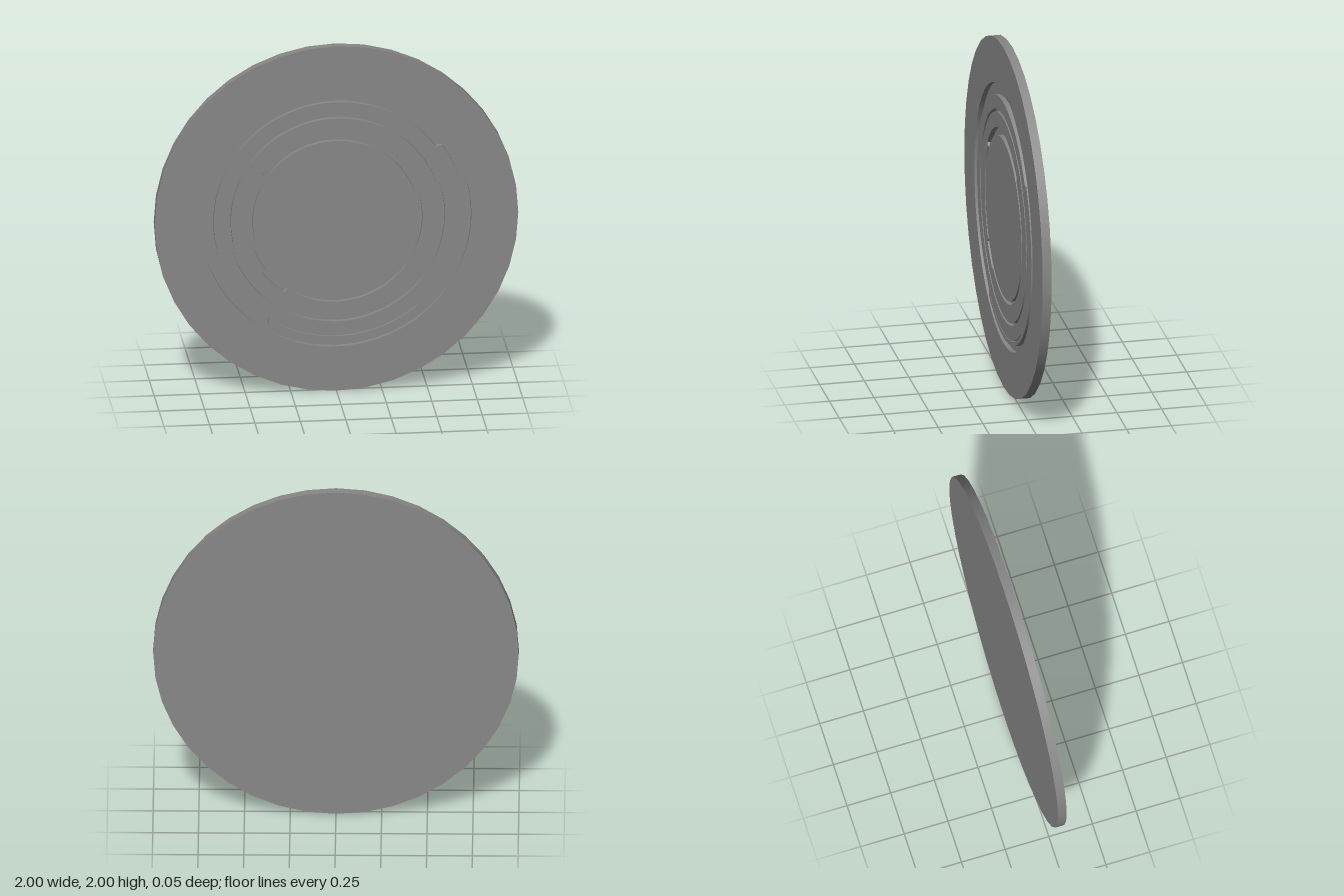
import * as THREE from 'three';

const FLOOR = -0.002; // depth of the groove floor
const FRONT = 0.025;
const BACK = -0.025;

const polar = (r, deg) => {
  const a = THREE.MathUtils.degToRad(deg);
  return new THREE.Vector2(r * Math.cos(a), r * Math.sin(a));
};

// Closed outline whose radius is a number or a function of the angle in degrees
function outline(radius, sides, cx = 0, cy = 0) {
  const points = [];
  for (let i = 0; i < sides; i++) {
    const deg = (i * 360) / sides;
    const r = typeof radius === 'function' ? radius(deg) : radius;
    points.push(polar(r, deg).add(new THREE.Vector2(cx, cy)));
  }
  return points;
}

const between = (deg, from, to) => deg >= from && deg <= to;

// Point the normals of the round walls along the radius, so they shade smoothly
function smoothWalls(geometry) {
  const position = geometry.attributes.position;
  const normal = geometry.attributes.normal;
  for (let i = 0; i < position.count; i++) {
    const radial = new THREE.Vector2(position.getX(i), position.getY(i)).normalize();
    const facing = radial.x * normal.getX(i) + radial.y * normal.getY(i);
    if (Math.abs(facing) > 0.9) {
      radial.multiplyScalar(Math.sign(facing));
      normal.setXYZ(i, radial.x, radial.y, 0);
    }
  }
}

export function createModel() {
  const group = new THREE.Group();
  const material = new THREE.MeshStandardMaterial({ color: 0x888888 });

  const addPlate = (name, points, holes, z0, z1) => {
    const shape = new THREE.Shape(points);
    shape.holes = holes.map((hole) => new THREE.Path(hole));
    const geometry = new THREE.ExtrudeGeometry(shape, { depth: z1 - z0, bevelEnabled: false });
    smoothWalls(geometry);
    const mesh = new THREE.Mesh(geometry, material);
    mesh.name = name;
    mesh.position.set(0, 1, z0);
    group.add(mesh);
  };

  // Solid backing disc; its front forms the floor of the grooves
  addPlate('backDisc', outline(1, 40), [], BACK, FLOOR);

  // Broad flat border
  addPlate('outerBorder', outline(1, 40), [outline(0.743, 60)], FLOOR, FRONT);

  // Middle band, wider at the lower right, with a hairline slot along the bottom
  const widened = (deg) => (between(deg, 36, 237) ? 0.675 : 0.708);
  const slot = [];
  for (let deg = 240; deg <= 311; deg++) slot.push(polar(0.683, deg));
  for (let deg = 311; deg >= 240; deg--) slot.push(polar(0.678, deg));
  addPlate('middleBand', outline(widened, 360), [outline(0.597, 60), slot], FLOOR, FRONT);

  // Inner band; its inner edge is notched wider over two arcs
  const notched = (deg) =>
    between(deg, 47, 145) || between(deg, 216, 235) ? 0.5 : 0.476;
  addPlate('innerBand', outline(0.581, 60), [outline(notched, 360, -0.003, -0.006)], FLOOR, FRONT);

  // Central disc
  addPlate('centreDisc', outline(0.457, 60, -0.003, -0.006), [], FLOOR, FRONT);

  return group;
}
